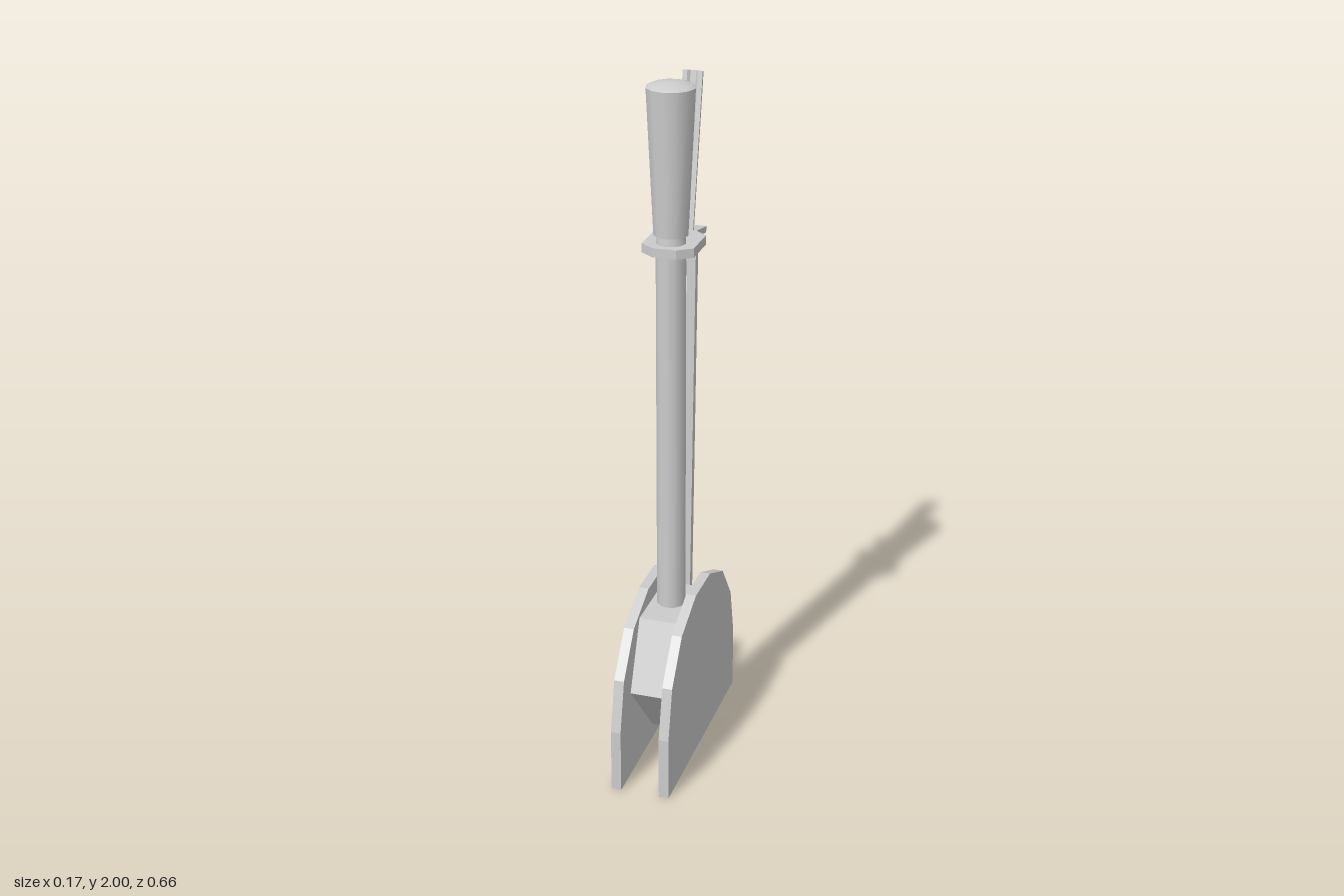
import * as THREE from 'three';

const material = new THREE.MeshStandardMaterial({ color: 0xcccccc });
const shapeOf = (pts) => new THREE.Shape(pts.map(([a, b]) => new THREE.Vector2(a, b)));
const extrude = (pts, depth) =>
  new THREE.ExtrudeGeometry(shapeOf(pts), { depth, bevelEnabled: false });

// Outline in (z, y), given thickness across x, centred on x
function sideSlab(pts, width, x = 0) {
  return extrude(pts, width).rotateY(-Math.PI / 2).translate(x + width / 2, 0, 0);
}

// Outline in (x, z), standing from y = 0 up to height
function flatSlab(pts, height) {
  return extrude(pts, height).rotateX(Math.PI / 2).translate(0, height, 0);
}

export function createModel() {
  const model = new THREE.Group();
  const add = (name, geometry) => {
    const mesh = new THREE.Mesh(geometry, material);
    mesh.name = name;
    model.add(mesh);
    return mesh;
  };
  const poleZ = 0.033;

  // Pair of arched side plates
  const half = [[0.33, 0], [0.33, 0.19], [0.295, 0.34], [0.205, 0.46], [0.07, 0.52]];
  const arch = [...half, ...half.map(([z, y]) => [-z, y]).reverse()];
  add('leftSidePlate', sideSlab(arch, 0.029, 0.071));
  add('rightSidePlate', sideSlab(arch, 0.029, -0.071));

  // Five-sided pivot block held between the plates
  const block = [[0.04, 0.045], [0.24, 0.27], [0.155, 0.47], [-0.075, 0.47], [-0.16, 0.27]];
  add('pivotBlock', sideSlab(block, 0.112));

  // Main pole
  add('pole', new THREE.CylinderGeometry(0.042, 0.042, 1.1, 12).translate(0, 1.0, poleZ));

  // Collar with a tongue towards the back
  const rim = [[0.033, 0.093], [0.073, 0.063], [0.073, -0.05], [0.032, -0.083]];
  const collar = [...rim, ...rim.map(([x, z]) => [-x, z]).reverse()];
  add('collar', flatSlab(collar, 0.026).translate(0, 1.536, 0));

  // Neck and tapered grip with a shallow domed top
  add('neck', new THREE.CylinderGeometry(0.038, 0.042, 0.035, 12).translate(0, 1.575, poleZ));
  add('grip', new THREE.CylinderGeometry(0.067, 0.048, 0.4, 12, 1).translate(0, 1.785, poleZ));
  const dome = [[0.067, 1.985], [0.055, 1.992], [0.03, 1.998], [0, 2]];
  add('gripCap', new THREE.LatheGeometry(dome.map(([r, y]) => new THREE.Vector2(r, y)), 12)
    .translate(0, 0, poleZ));

  // Tilted tab carrying the release lever and the rod
  const tab = add('leverTab', new THREE.BoxGeometry(0.064, 0.018, 0.14));
  tab.position.set(0, 1.542, -0.12);
  tab.rotation.x = -0.17;

  // Dished release lever leaning backwards
  const dish = [
    [-0.028, 0.008], [-0.015, 0.008], [-0.008, 0.001], [0.008, 0.001], [0.015, 0.008], [0.028, 0.008],
    [0.028, 0], [0.018, -0.009], [0, -0.013], [-0.018, -0.009], [-0.028, 0],
  ];
  const lever = add('releaseLever', flatSlab(dish, 0.44));
  lever.position.set(0, 1.548, -0.082);
  lever.rotation.x = -0.195;

  // Square rod linking the tab to the pivot block
  const top = new THREE.Vector3(0, 1.535, -0.167);
  const bottom = new THREE.Vector3(0, 0.35, -0.116);
  const rod = add('linkRod', new THREE.BoxGeometry(0.026, top.distanceTo(bottom), 0.022));
  rod.position.addVectors(top, bottom).multiplyScalar(0.5);
  rod.rotation.x = Math.atan2(top.z - bottom.z, top.y - bottom.y);

  return model;
}
